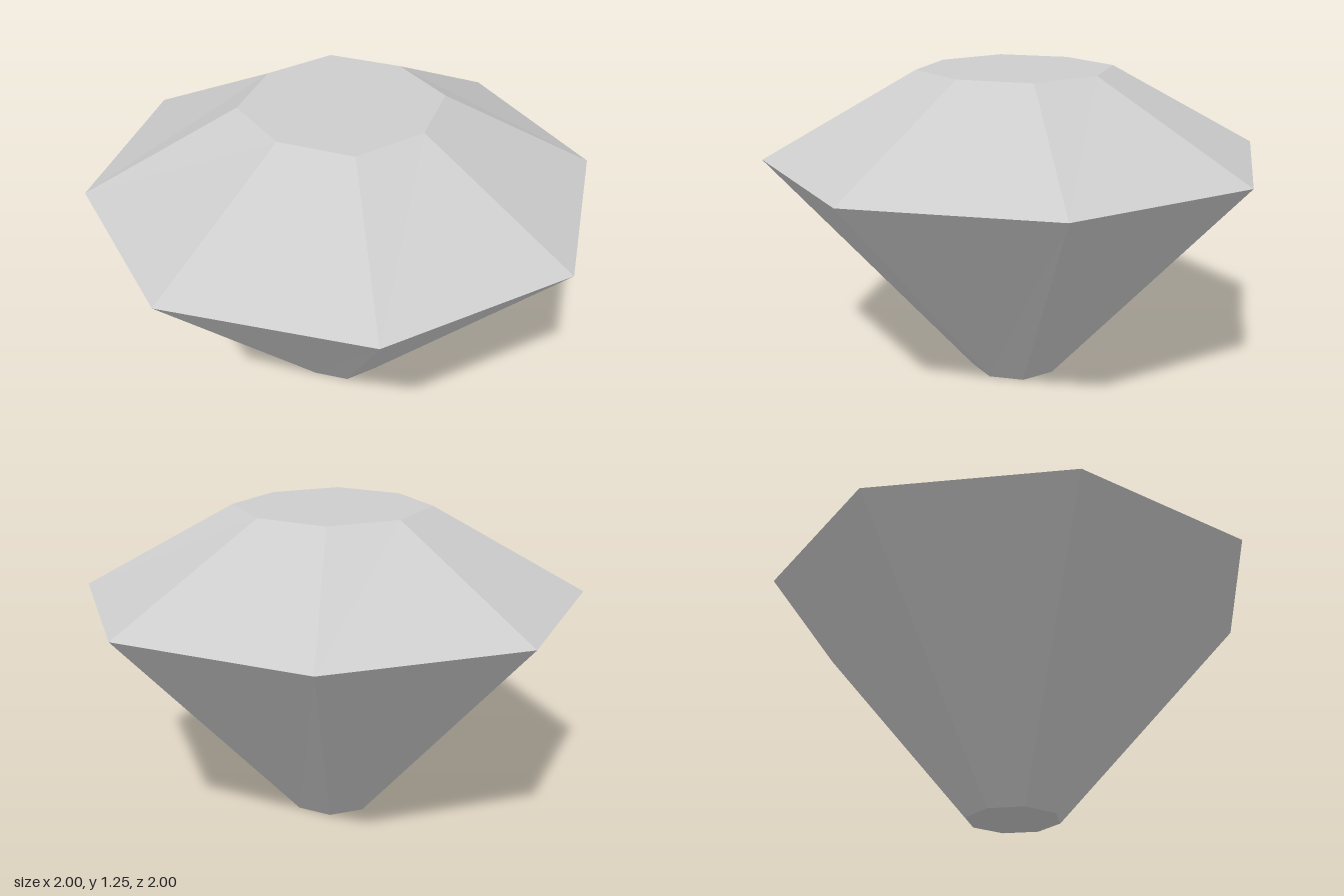
import * as THREE from 'three';

const SIDES = 8;

// Octagonal ring; corners on the axes and on the diagonals may differ slightly in radius
function ring(y, axisRadius, diagonalRadius) {
  return Array.from({ length: SIDES }, (_, i) => {
    const a = (i / SIDES) * Math.PI * 2;
    const r = i % 2 ? diagonalRadius : axisRadius;
    return [Math.sin(a) * r, y, Math.cos(a) * r];
  });
}

function facets(triangles) {
  const geometry = new THREE.BufferGeometry();
  geometry.setAttribute('position', new THREE.Float32BufferAttribute(triangles.flat(2), 3));
  geometry.computeVertexNormals();
  return geometry;
}

// Facets between two rings, each split from the wide ring's diagonal corner
function band(lower, upper, wideIsLower) {
  const triangles = [];
  for (let i = 0; i < SIDES; i++) {
    const j = (i + 1) % SIDES;
    const fromLower = (i % 2 === 1) === wideIsLower;
    if (fromLower) {
      triangles.push([lower[i], lower[j], upper[j]], [lower[i], upper[j], upper[i]]);
    } else {
      triangles.push([lower[i], lower[j], upper[i]], [lower[j], upper[j], upper[i]]);
    }
  }
  return facets(triangles);
}

// Flat cap closing a ring
function cap(points, facesUp) {
  const triangles = [];
  for (let i = 1; i < SIDES - 1; i++) {
    triangles.push(facesUp
      ? [points[0], points[i], points[i + 1]]
      : [points[0], points[i + 1], points[i]]);
  }
  return facets(triangles);
}

export function createModel() {
  const gem = new THREE.Group();
  gem.name = 'gem';
  const material = new THREE.MeshStandardMaterial({ color: 0xcccccc, flatShading: true });
  material.name = 'paleGrey';

  const culetRing = ring(0, 0.185, 0.185);
  const girdleRing = ring(0.92, 1, 0.985);
  const tableRing = ring(1.25, 0.367, 0.389);

  const parts = {
    culet: cap(culetRing, false),
    pavilion: band(culetRing, girdleRing, false),
    crown: band(girdleRing, tableRing, true),
    table: cap(tableRing, true),
  };
  for (const [name, geometry] of Object.entries(parts)) {
    const mesh = new THREE.Mesh(geometry, material);
    mesh.name = name;
    gem.add(mesh);
  }
  return gem;
}
